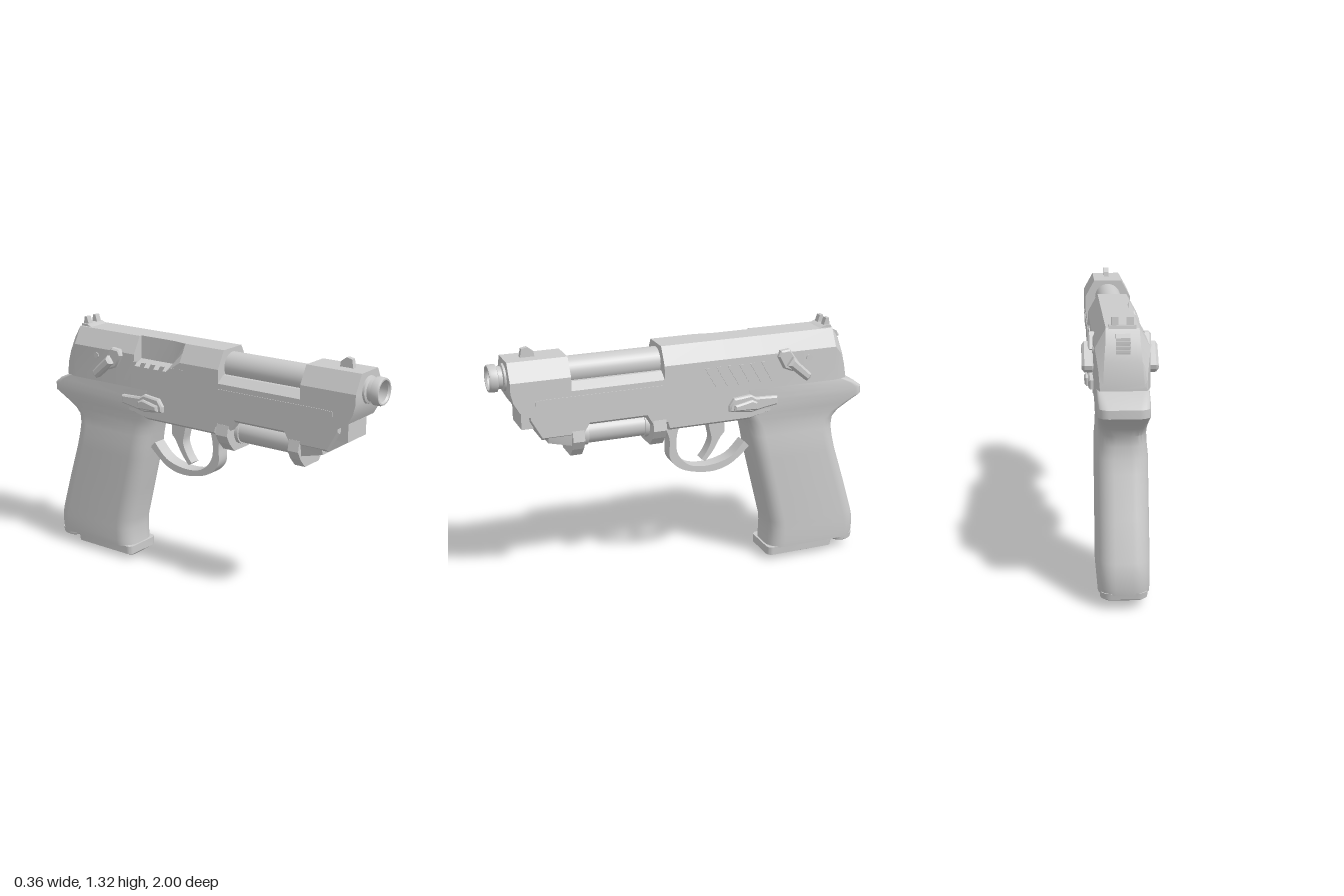
import * as THREE from 'three';
import { toCreasedNormals } from 'three/addons/utils/BufferGeometryUtils.js';

const material = new THREE.MeshStandardMaterial({ color: 0xcccccc, side: THREE.DoubleSide });

export function createModel() {
  const model = new THREE.Group();

  function add(name, geometry, crease = 0.5) {
    const flat = geometry.index ? geometry.toNonIndexed() : geometry;
    const mesh = new THREE.Mesh(toCreasedNormals(flat, crease), material);
    mesh.name = name;
    model.add(mesh);
    return mesh;
  }

  // Skin between rings of [x, y, z] points, closed at both ends
  function loft(rings) {
    const tris = [];
    const n = rings[0].length;
    for (let i = 0; i + 1 < rings.length; i++) {
      for (let j = 0; j < n; j++) {
        const k = (j + 1) % n;
        const [a, b, c, d] = [rings[i][j], rings[i][k], rings[i + 1][k], rings[i + 1][j]];
        tris.push([a, b, c], [a, c, d]);
      }
    }
    const last = rings[rings.length - 1];
    for (let j = 1; j + 1 < n; j++) {
      tris.push([rings[0][0], rings[0][j + 1], rings[0][j]], [last[0], last[j], last[j + 1]]);
    }
    // Turn the faces outward if the signed volume is negative
    const v = (p) => new THREE.Vector3(...p);
    const volume = tris.reduce((s, [a, b, c]) => s + v(a).dot(v(b).cross(v(c))), 0);
    if (volume < 0) tris.forEach((t) => t.reverse());
    const g = new THREE.BufferGeometry();
    g.setAttribute('position', new THREE.Float32BufferAttribute(tris.flat(2), 3));
    return g;
  }

  // Side outline of [z, y] points, given thickness from x0 to x1
  function plate(points, x0, x1, bevel = 0) {
    const shape = new THREE.Shape(points.map(([z, y]) => new THREE.Vector2(z, y)));
    const g = new THREE.ExtrudeGeometry(shape, {
      depth: x1 - x0 - 2 * bevel, bevelEnabled: bevel > 0, bevelSize: bevel,
      bevelThickness: bevel, bevelOffset: -bevel, bevelSegments: 1,
    });
    return g.rotateY(-Math.PI / 2).translate(x1 - bevel, 0, 0);
  }

  // The same outline on both sides of the model
  function pair(name, points, x0, x1, bevel) {
    add(name + 'Left', plate(points, x0, x1, bevel));
    add(name + 'Right', plate(points, -x1, -x0, bevel));
  }

  function box(name, x, y0, y1, z0, z1) {
    return add(name, new THREE.BoxGeometry(2 * x, y1 - y0, z1 - z0)
      .translate(0, (y0 + y1) / 2, (z0 + z1) / 2));
  }

  const smooth = (points, n) => new THREE.SplineCurve(points.map((p) => new THREE.Vector2(...p)))
    .getPoints(n).map((p) => [p.x, p.y]);

  // Slide with chamfered top, open middle and a port on its right
  const slideRing = (z, bottom = 1, shoulder = 1.18, top = 1.27, w = 0.125, t = 0.075) => [
    [w, bottom, z], [w, shoulder, z], [t, top, z], [-t, top, z],
    [-(t + w) / 2, (top + shoulder) / 2, z], [-w, shoulder, z], [-w, bottom, z]];
  const portRing = (z) => [
    [0.125, 1, z], [0.125, 1.18, z], [0.075, 1.27, z], [-0.06, 1.27, z],
    [-0.065, 1.15, z], [-0.125, 1.12, z], [-0.125, 1, z]];
  add('slide', loft([
    slideRing(0.92, 1.13), slideRing(0.908, 1.08), slideRing(0.88, 1.03), slideRing(0.83),
    slideRing(0.62), slideRing(0.62, 1, 1.11, 1.145, 0.125, 0.08),
    slideRing(0.14, 1, 1.11, 1.145, 0.125, 0.08), slideRing(0.14),
    slideRing(-0.10), portRing(-0.19), portRing(-0.40), slideRing(-0.40),
    slideRing(-0.815), slideRing(-0.85, 1, 1.14, 1.21, 0.118, 0.078),
    slideRing(-0.875, 1, 1.08, 1.13, 0.11, 0.085), slideRing(-0.89, 1, 1.01, 1.03, 0.105, 0.09),
  ]), 0.3);

  // Barrel with grooved muzzle and hollow bore
  const profile = [[0, 0.8], [0.05, 0.8], [0.05, 0.99], [0.056, 1], [0.064, 1], [0.068, 0.99],
    [0.068, 0.96], [0.055, 0.955], [0.055, 0.935], [0.066, 0.93], [0.07, 0.9], [0.07, 0.1]];
  add('barrel', new THREE.LatheGeometry(profile.map((p) => new THREE.Vector2(...p)), 32)
    .rotateX(Math.PI / 2).translate(0, 1.18, 0));

  // Slide trim: side strips, slanted grip ribs and pins
  pair('sideStrip', [[0.8, 1.055], [0.8, 1.08], [0.74, 1.083], [0.14, 1.083], [0.14, 1.06], [0.74, 1.06]], 0.12, 0.128);
  for (let i = 0; i < 6; i++) {
    const z = -0.075 - i * 0.062;
    pair('gripRib' + i, [[z, 1.145], [z - 0.024, 1.145], [z - 0.088, 1.035], [z - 0.064, 1.035]], 0.12, 0.129);
  }
  for (const s of [1, -1]) {
    add('slidePin', new THREE.CylinderGeometry(0.016, 0.016, 0.02, 12)
      .rotateZ(Math.PI / 2).translate(s * 0.12, 1.14, -0.66));
  }

  // Sights
  add('frontSight', plate([[0.84, 1.26], [0.83, 1.312], [0.8, 1.318], [0.77, 1.295], [0.765, 1.26]], -0.013, 0.013));
  add('rearSightBase', plate([[-0.74, 1.265], [-0.78, 1.282], [-0.815, 1.282], [-0.82, 1.25]], -0.062, 0.062));
  pair('rearSightPost', [[-0.775, 1.27], [-0.79, 1.318], [-0.808, 1.318], [-0.812, 1.27]], 0.018, 0.05);

  // Hammer with ridged back
  add('hammer', plate([[-0.8, 1.12], [-0.8, 1.24], [-0.845, 1.25], [-0.87, 1.235], [-0.872, 1.21], [-0.86, 1.12]], -0.032, 0.032));
  for (let i = 0; i < 3; i++) box('hammerRidge', 0.032, 1.17 + i * 0.02, 1.18 + i * 0.02, -0.878, -0.86);

  // Frame under the slide
  const frameRing = (z, bottom, top = 1.005, w = 0.117) => [
    [w, top, z], [w, bottom + 0.015, z], [w - 0.02, bottom, z],
    [-w + 0.02, bottom, z], [-w, bottom + 0.015, z], [-w, top, z]];
  add('frame', loft([
    frameRing(0.825, 0.97), frameRing(0.77, 0.87), frameRing(0.56, 0.87), frameRing(0.53, 0.92),
    frameRing(0.23, 0.92), frameRing(0.2, 0.87), frameRing(0.12, 0.87), frameRing(0.11, 0.835),
    frameRing(-0.33, 0.835), frameRing(-0.45, 0.86),
  ]), 0.3);
  box('guideRodHousing', 0.085, 0.93, 1.02, 0.8, 0.865);

  // Accessory under the frame: nose rail, two brackets and a lamp tube
  add('noseRail', loft([[0.74, 0.85], [0.6, 0.815]].map(([z, b]) => [
    [0.11, 0.88, z], [0.1, b, z], [-0.1, b, z], [-0.11, 0.88, z]])));
  const bracket = (z) => [[0.118, 0.9, z], [0.13, 0.845, z], [0.104, 0.8, z], [0.063, 0.755, z],
    [-0.063, 0.755, z], [-0.104, 0.8, z], [-0.13, 0.845, z], [-0.118, 0.9, z]];
  add('frontBracket', loft([bracket(0.62), bracket(0.56)]), 0.2);
  add('rearBracket', loft([bracket(0.2), bracket(0.13)]), 0.2);
  const tube = (name, r, z0, z1) => add(name, new THREE.CylinderGeometry(r, r, z1 - z0, 24)
    .rotateX(Math.PI / 2).translate(0, 0.85, (z0 + z1) / 2));
  tube('lampTube', 0.06, 0.18, 0.58);
  tube('lampCollar', 0.068, 0.52, 0.57);
  tube('lampCollar', 0.068, 0.19, 0.22);

  // Trigger guard and trigger
  const outer = smooth([[0.12, 0.85], [0.082, 0.76], [0.078, 0.65], [0.005, 0.578], [-0.14, 0.547], [-0.26, 0.573], [-0.37, 0.66]], 30);
  const inner = smooth([[-0.34, 0.69], [-0.26, 0.613], [-0.14, 0.583], [-0.03, 0.6], [0.035, 0.67], [0.043, 0.76], [0.02, 0.85]], 30);
  add('triggerGuard', plate([...outer, ...inner], -0.037, 0.037));
  add('trigger', plate([
    ...smooth([[-0.13, 0.85], [-0.145, 0.78], [-0.155, 0.72], [-0.13, 0.66], [-0.1, 0.62]], 12),
    ...smooth([[-0.12, 0.605], [-0.165, 0.66], [-0.205, 0.73], [-0.23, 0.765], [-0.22, 0.85]], 12)], -0.03, 0.03));

  // Grip: rounded cross-sections flowing into the rear tail
  function gripRing(y, front, back, w, r = 0.08) {
    const ring = [];
    for (let i = 0; i < 4; i++) {
      const sx = i === 0 || i === 3 ? 1 : -1;
      const cz = i < 2 ? front - r : back + r;
      for (let k = 0; k <= 6; k++) {
        const a = (i + k / 6) * Math.PI / 2;
        ring.push([sx * (w - r) + r * Math.cos(a), y, cz + r * Math.sin(a)]);
      }
    }
    return ring;
  }
  add('grip', loft([
    gripRing(0.07, -0.475, -0.995, 0.118), gripRing(0.1, -0.478, -1, 0.12), gripRing(0.17, -0.48, -1, 0.12),
    gripRing(0.22, -0.475, -0.988, 0.12), gripRing(0.4, -0.43, -0.933, 0.12), gripRing(0.6, -0.38, -0.868, 0.12),
    gripRing(0.67, -0.364, -0.85, 0.12), gripRing(0.73, -0.35, -0.843, 0.114), gripRing(0.78, -0.337, -0.85, 0.111),
    gripRing(0.82, -0.325, -0.878, 0.112, 0.07), gripRing(0.86, -0.31, -0.935, 0.115, 0.06),
    gripRing(0.9, -0.3, -0.998, 0.118, 0.05), gripRing(0.94, -0.3, -0.998, 0.118, 0.05),
    gripRing(0.97, -0.3, -0.955, 0.118, 0.04), gripRing(1, -0.3, -0.885, 0.118, 0.03),
  ]), 0.6);

  // Magazine floor plate and the lip behind it
  add('magazineBase', loft([
    gripRing(0.075, -0.465, -0.862, 0.112, 0.03), gripRing(0.03, -0.465, -0.855, 0.11, 0.03),
    gripRing(0, -0.505, -0.84, 0.055, 0.02)]));
  add('gripLip', loft([
    gripRing(0.08, -0.865, -0.995, 0.11, 0.05), gripRing(0.05, -0.875, -0.99, 0.108, 0.05),
    gripRing(0.04, -0.885, -0.975, 0.095, 0.04)]));

  // Safety levers and slide stops
  pair('safetyPlate', [[-0.475, 1.165], [-0.49, 1.195], [-0.54, 1.2], [-0.59, 1.13], [-0.56, 1.08], [-0.51, 1.1]], 0.11, 0.148, 0.008);
  pair('safetyLever', [[-0.52, 1.12], [-0.55, 1.16], [-0.655, 1.065], [-0.65, 1.045], [-0.63, 1.028]], 0.12, 0.178, 0.012);
  pair('slideStop', [[-0.21, 0.9], [-0.21, 0.93], [-0.235, 0.968], [-0.33, 0.978], [-0.36, 0.96], [-0.48, 0.955],
    [-0.48, 0.91], [-0.41, 0.9], [-0.33, 0.885]], 0.1, 0.142, 0.008);
  pair('slideStopThumb', [[-0.23, 0.905], [-0.235, 0.935], [-0.33, 0.955], [-0.36, 0.94], [-0.36, 0.9]], 0.12, 0.158, 0.008);

  return model;
}
